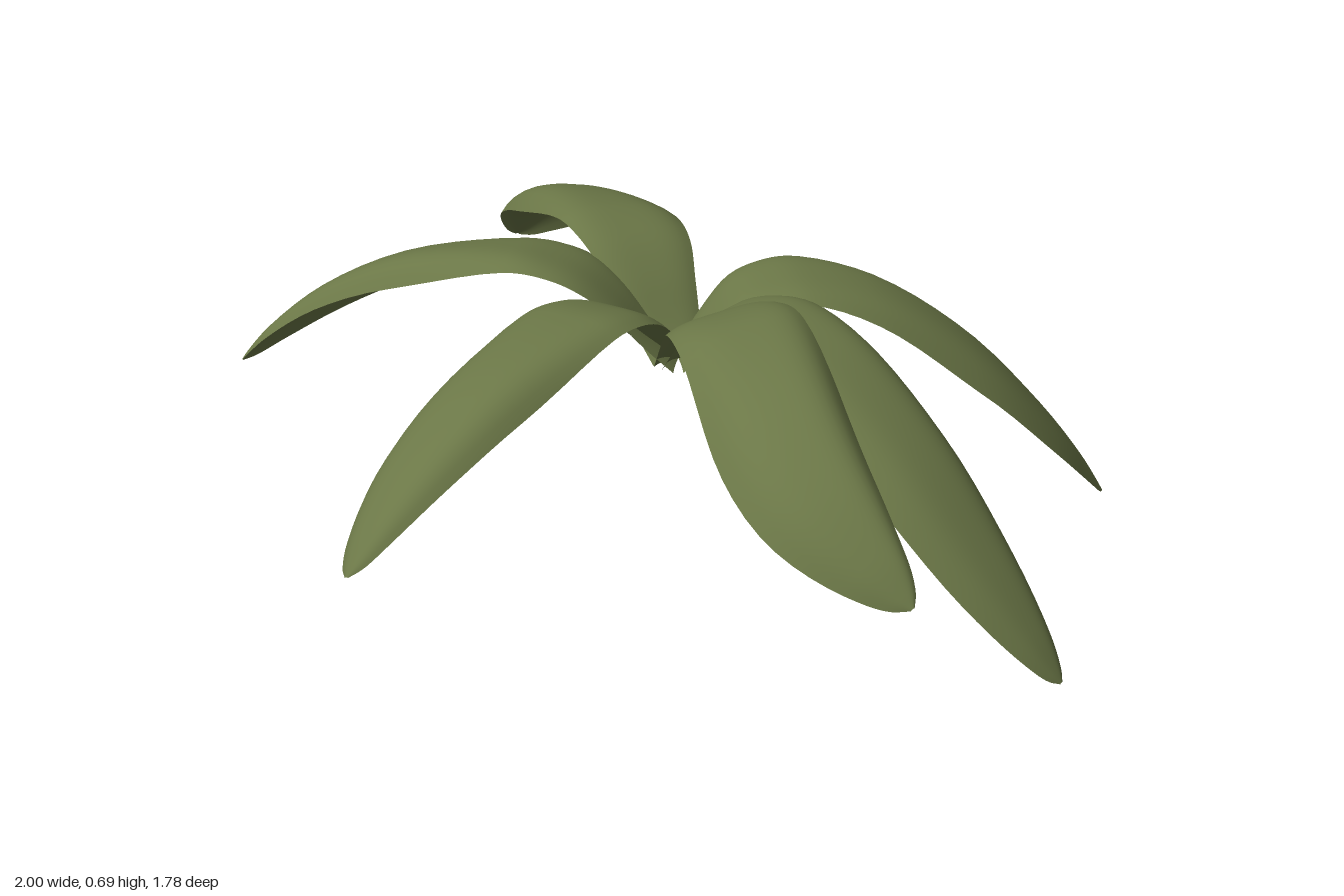
import * as THREE from 'three';

const leafGreen = new THREE.MeshStandardMaterial({ color: 0x6b7747, side: THREE.DoubleSide });
leafGreen.name = 'leafGreen';

const CENTRE = new THREE.Vector3(0.02, 0, 0);

// Midrib points: share of the length, height, half width
const highArch = [
  [0, 0.445, 0.06], [0.06, 0.51, 0.08], [0.13, 0.59, 0.1], [0.2, 0.645, 0.122], [0.27, 0.672, 0.134],
  [0.36, 0.683, 0.141], [0.6, 0.636, 0.143], [0.8, 0.535, 0.115], [0.93, 0.43, 0.065], [0.98, 0.375, 0.03], [1, 0.35, 0.004],
];
const lowArch = [
  [0, 0.445, 0.06], [0.06, 0.53, 0.08], [0.13, 0.605, 0.105], [0.2, 0.63, 0.122], [0.28, 0.635, 0.132],
  [0.45, 0.59, 0.14], [0.65, 0.455, 0.138], [0.83, 0.26, 0.105], [0.94, 0.11, 0.06], [0.985, 0.035, 0.026], [1, 0.008, 0.004],
];

// Tip position on the ground plan, sideways bow, twist and arch of each leaf
const leaves = [
  { name: 'leafLeftBack', tip: [1.0, -0.29], bow: 0.045, twist: 0.08, arch: lowArch },
  { name: 'leafLeftFront', tip: [0.878, 0.575], bow: 0.035, twist: 0.08, arch: lowArch },
  { name: 'leafFrontLeft', tip: [0.56, 0.88], bow: 0.09, twist: 0.5, arch: highArch },
  { name: 'leafFrontRight', tip: [-0.56, 0.865], bow: 0.012, twist: 0.4, arch: highArch },
  { name: 'leafRight', tip: [-1.0, -0.095], bow: 0.07, twist: 0.5, arch: highArch },
  { name: 'leafBack', tip: [-0.475, -0.89], bow: 0.0, twist: 0.35, arch: highArch },
];

// A sheet bent along the midrib, twisting towards the tip, with rims curled down
function makeLeaf({ name, tip, bow, twist, arch }) {
  const along = new THREE.Vector3(tip[0], 0, tip[1]).sub(CENTRE);
  const length = along.length();
  along.normalize();
  const across = new THREE.Vector3(-along.z, 0, along.x);
  const rib = new THREE.CatmullRomCurve3(arch.map((p) => new THREE.Vector3(...p)));

  const geometry = new THREE.PlaneGeometry(2, 1, 16, 44);
  const pos = geometry.attributes.position;
  const v = new THREE.Vector3();
  for (let i = 0; i < pos.count; i++) {
    const side = pos.getX(i);
    const { x: s, y: height, z: halfWidth } = rib.getPoint(pos.getY(i) + 0.5);
    const sideways = side * halfWidth + bow * Math.sin(Math.PI * Math.pow(Math.max(s, 0), 2.2));
    const outer = THREE.MathUtils.smoothstep(s, 0.22, 0.65);
    const curl = halfWidth * (0.15 * outer * side ** 2 + (0.15 + 0.25 * outer) * side ** 4);
    const tilt = twist * s * side * halfWidth;
    v.copy(CENTRE).addScaledVector(along, s * length).addScaledVector(across, sideways);
    pos.setXYZ(i, v.x, height - curl - tilt, v.z);
  }
  geometry.computeVertexNormals();
  const mesh = new THREE.Mesh(geometry, leafGreen);
  mesh.name = name;
  return mesh;
}

export function createModel() {
  const plant = new THREE.Group();
  plant.name = 'leafRosette';
  leaves.forEach((leaf) => plant.add(makeLeaf(leaf)));
  return plant;
}
